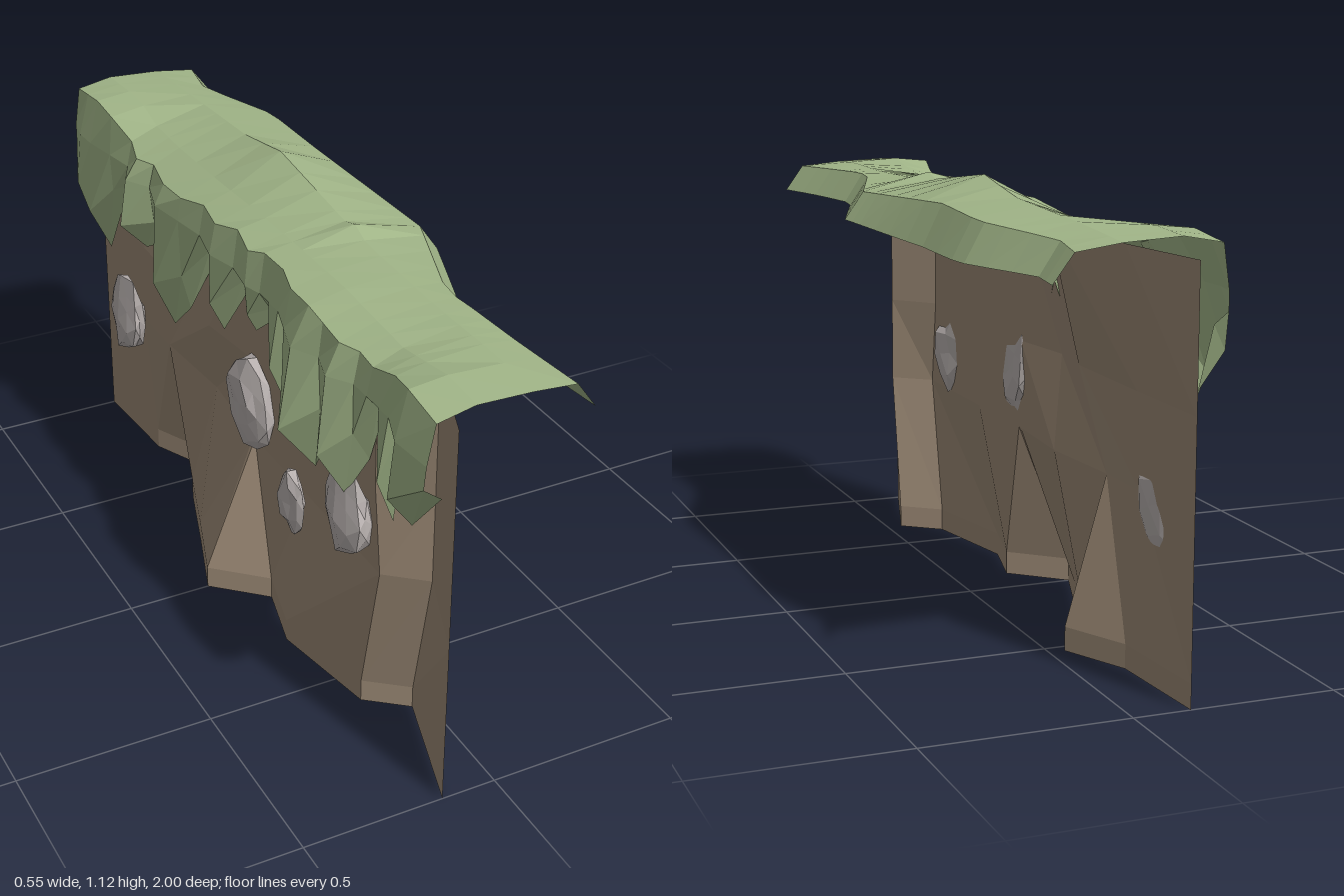
import * as THREE from 'three';

const mat = (color) => new THREE.MeshStandardMaterial({ color, flatShading: true, side: THREE.DoubleSide });
const V = (x, y, z) => new THREE.Vector3(x, y, z);

// Faceted open sheet through columns of points (each column has the same count)
function sheet(columns) {
  const n = columns[0].length;
  const index = [];
  for (let i = 0; i < columns.length - 1; i++) {
    for (let j = 0; j < n - 1; j++) {
      const a = i * n + j, b = a + n;
      index.push(a, b, a + 1, b, b + 1, a + 1);
    }
  }
  const g = new THREE.BufferGeometry().setFromPoints(columns.flat());
  g.setIndex(index);
  const flat = g.toNonIndexed();
  flat.computeVertexNormals();
  return flat;
}

// Piecewise-linear lookup in [key, value] pairs sorted by key
function lerpTable(table, t) {
  let i = 0;
  while (i < table.length - 2 && t > table[i + 1][0]) i++;
  const [a, va] = table[i], [b, vb] = table[i + 1];
  return va + (vb - va) * THREE.MathUtils.clamp((t - a) / (b - a), 0, 1);
}

function named(geometry, material, name) {
  const m = new THREE.Mesh(geometry, material);
  m.name = name;
  return m;
}

// Earth face: [foot z, foot x, mid z, mid x, upper z, upper x, top x]
function earthWall() {
  const cols = [
    [-1, -0.14, -1, -0.14, -1, -0.14, -0.14],
    [-0.7, -0.12, -0.72, -0.14, -0.7, -0.14, -0.105],
    [-0.53, -0.04, -0.54, -0.14, -0.37, -0.145, -0.066],
    [-0.41, -0.14, -0.54, -0.14, -0.36, -0.145, -0.065],
    [-0.2, -0.21, -0.27, -0.12, -0.21, -0.165, -0.14],
    [0, -0.28, 0, -0.14, 0, -0.14, -0.14],
    [0.12, -0.15, 0.01, -0.14, 0.02, -0.14, -0.14],
    [0.3, -0.195, 0.3, -0.14, 0.3, -0.14, -0.14],
    [0.6, -0.14, 0.68, -0.14, 0.65, -0.14, -0.14],
    [0.68, -0.04, 0.76, -0.045, 0.76, -0.045, -0.045],
    [1, -0.14, 1, -0.14, 1, -0.14, -0.14],
  ];
  return sheet(cols.map(([fz, fx, mz, mx, uz, ux, tx]) => [
    V(tx, 1, uz), V(ux, 0.66, uz), V(mx, 0.43, mz), V(fx, 0.06, fz), V(fx, 0, fz),
  ]));
}

// Turf: overhanging lip, humped top and tufts hanging down the outer face
function turf() {
  const lip = [[-1, 0.2], [-0.85, 0.17], [-0.57, 0.245], [-0.3, 0.235], [0.2, 0.27], [0.53, 0.15], [0.8, 0.175], [1, 0.2]];
  const crest = [[-1, 1.045], [-0.8, 1.06], [-0.4, 1.08], [-0.2, 1.115], [0.16, 1.07], [0.2, 1.085], [0.26, 1.06], [0.6, 1.05], [0.85, 1.055], [1, 1.045]];
  const ridge = [[-1, 1.03], [-0.3, 1.06], [0.2, 1.04], [0.6, 1.05], [1, 1.035]];
  const back = [[-1, 1.045], [-0.86, 1.06], [-0.76, 1.05], [-0.67, 1.0], [-0.5, 0.99], [-0.25, 1.005], [0, 1.03], [0.4, 1.04], [0.69, 1.0], [0.79, 1.03], [0.88, 1.06], [1, 1.04]];
  // [z, lowest y, bulge x]
  const tufts = [
    [-1, 0.86, -0.21], [-0.93, 0.7, -0.24], [-0.86, 0.6, -0.235], [-0.76, 0.76, -0.2], [-0.67, 0.84, -0.16],
    [-0.59, 0.72, -0.25], [-0.52, 0.76, -0.18], [-0.41, 0.57, -0.235], [-0.3, 0.67, -0.2], [-0.2, 0.85, -0.16],
    [-0.09, 0.71, -0.215], [0.0, 0.86, -0.16], [0.1, 0.8, -0.2], [0.15, 0.85, -0.16], [0.2, 0.64, -0.19],
    [0.25, 0.84, -0.16], [0.33, 0.7, -0.22], [0.42, 0.59, -0.275], [0.49, 0.71, -0.2], [0.57, 0.6, -0.25],
    [0.63, 0.72, -0.19], [0.69, 0.87, -0.16], [0.745, 0.62, -0.19], [0.79, 0.87, -0.16], [0.88, 0.7, -0.24], [1, 0.84, -0.22],
  ];
  return sheet(tufts.map(([z, low, bulge]) => {
    const lx = lerpTable(lip, z), by = lerpTable(back, z);
    const out = bulge < -0.195;
    return [
      V(lx, 0.965 + 0.008 * Math.sin(3 * z), z),
      V(lx - 0.05, lerpTable(ridge, z), z),
      V(0.04, lerpTable(crest, z), z),
      V(-0.1, (by + 1.06) / 2, z),
      V(out ? -0.195 : -0.175, by - (out ? 0.01 : 0), z),
      V(out ? (bulge - 0.21) / 2 : -0.19, 0.93, z),
      V(bulge, 0.93 + (low - 0.93) * 0.62, z),
      V(out ? -0.175 : -0.145, low, z),
    ];
  }));
}

// Chipped stone: a ball with each corner pushed in or out by a fixed rule
function stone(seed) {
  const g = new THREE.IcosahedronGeometry(1, 1);
  const p = g.attributes.position, v = V(0, 0, 0);
  for (let i = 0; i < p.count; i++) {
    v.fromBufferAttribute(p, i);
    const k = 0.92 + 0.16 * Math.sin(Math.round(v.x * 50) * 1.7 + Math.round(v.y * 50) * 2.3 + Math.round(v.z * 50) * 3.1 + seed);
    p.setXYZ(i, v.x * k, v.y * k, v.z * k);
  }
  g.computeVertexNormals();
  return g;
}

export function createModel() {
  const group = new THREE.Group();
  group.name = 'cliffEdge';
  group.add(named(earthWall(), mat(0x9a8874), 'earthWall'));
  group.add(named(turf(), mat(0xa0b487), 'turf'));

  // Embedded stones: [x, y, z, half depth, half height, half width, tilt]
  const stones = new THREE.Group();
  stones.name = 'stones';
  const rock = mat(0xb5aeac);
  [
    [-0.165, 0.41, -0.78, 0.035, 0.13, 0.11, 0.35],
    [-0.162, 0.56, 0.03, 0.042, 0.14, 0.1, -0.3],
    [-0.175, 0.42, 0.29, 0.025, 0.095, 0.065, 0],
    [-0.16, 0.53, 0.56, 0.042, 0.12, 0.11, 0.2],
  ].forEach(([x, y, z, d, h, w, tilt], i) => {
    const m = named(stone(i * 2), rock, 'stone');
    m.position.set(x, y, z);
    m.scale.set(d, h, w);
    m.rotation.x = tilt;
    stones.add(m);
  });
  group.add(stones);
  return group;
}
